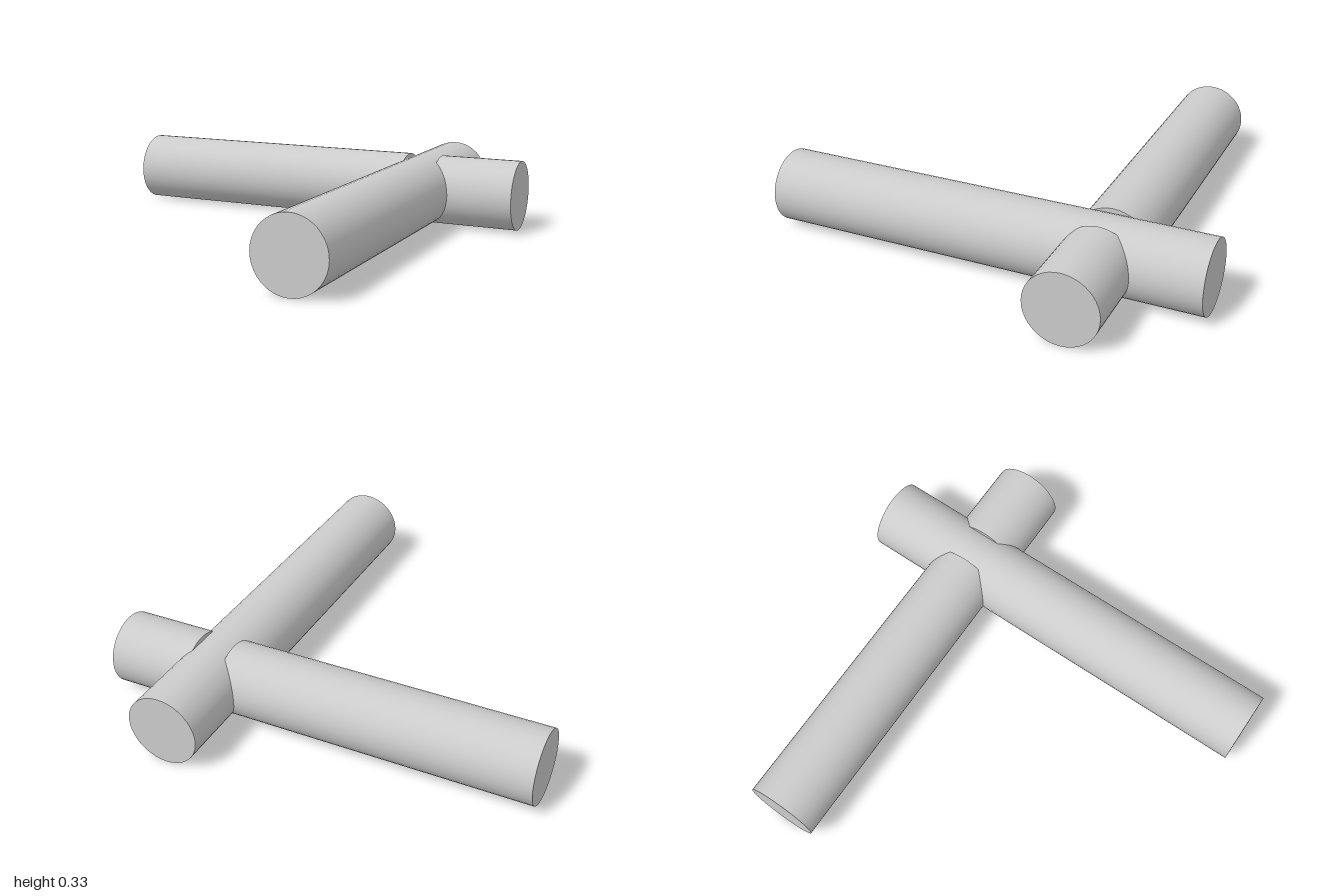
import * as THREE from 'three';
import { mergeGeometries } from 'three/addons/utils/BufferGeometryUtils.js';

const R = 0.165;          // log radius
const NOTCH = 0.53;       // notch centre along the log
const HALF = R / 2;       // half the notch width
const SIDES = 40;

// Open tube along x; half = true keeps only the lower half
function tube(x0, x1, half = false) {
  const g = new THREE.CylinderGeometry(R, R, x1 - x0, half ? SIDES / 2 : SIDES, 1, true,
    half ? Math.PI : 0, half ? Math.PI : Math.PI * 2);
  return g.rotateZ(Math.PI / 2).translate((x0 + x1) / 2, 0, 0);
}

// Disc (or upper half disc) at x, facing +x or -x
function disc(x, dir, half = false) {
  const g = new THREE.CircleGeometry(R, half ? SIDES / 2 : SIDES, 0, half ? Math.PI : Math.PI * 2);
  return g.rotateY(dir * Math.PI / 2).translate(x, 0, 0);
}

// Log along x with a half-depth square notch in its upper side
function notchedLog() {
  const a = NOTCH - HALF, b = NOTCH + HALF;
  const floor = new THREE.PlaneGeometry(b - a, 2 * R).rotateX(-Math.PI / 2).translate(NOTCH, 0, 0);
  return mergeGeometries([
    disc(-1, -1), tube(-1, a), disc(a, 1, true),    // long end and notch wall
    tube(a, b, true), floor,                        // remaining lower half
    disc(b, -1, true), tube(b, 1), disc(1, 1),      // short end and notch wall
  ]);
}

export function createModel() {
  const model = new THREE.Group();
  model.name = 'crossLappedLogs';
  const material = new THREE.MeshStandardMaterial({ color: 0xcccccc });

  // Log running side to side, notch facing up
  const lower = new THREE.Mesh(notchedLog(), material);
  lower.name = 'lowerLog';
  lower.position.set(0, R, -NOTCH);

  // Log running front to back, notch facing down
  const upper = new THREE.Mesh(notchedLog().rotateX(Math.PI).rotateY(Math.PI / 2), material);
  upper.name = 'upperLog';
  upper.position.set(NOTCH, R, 0);

  model.add(lower, upper);
  return model;
}
